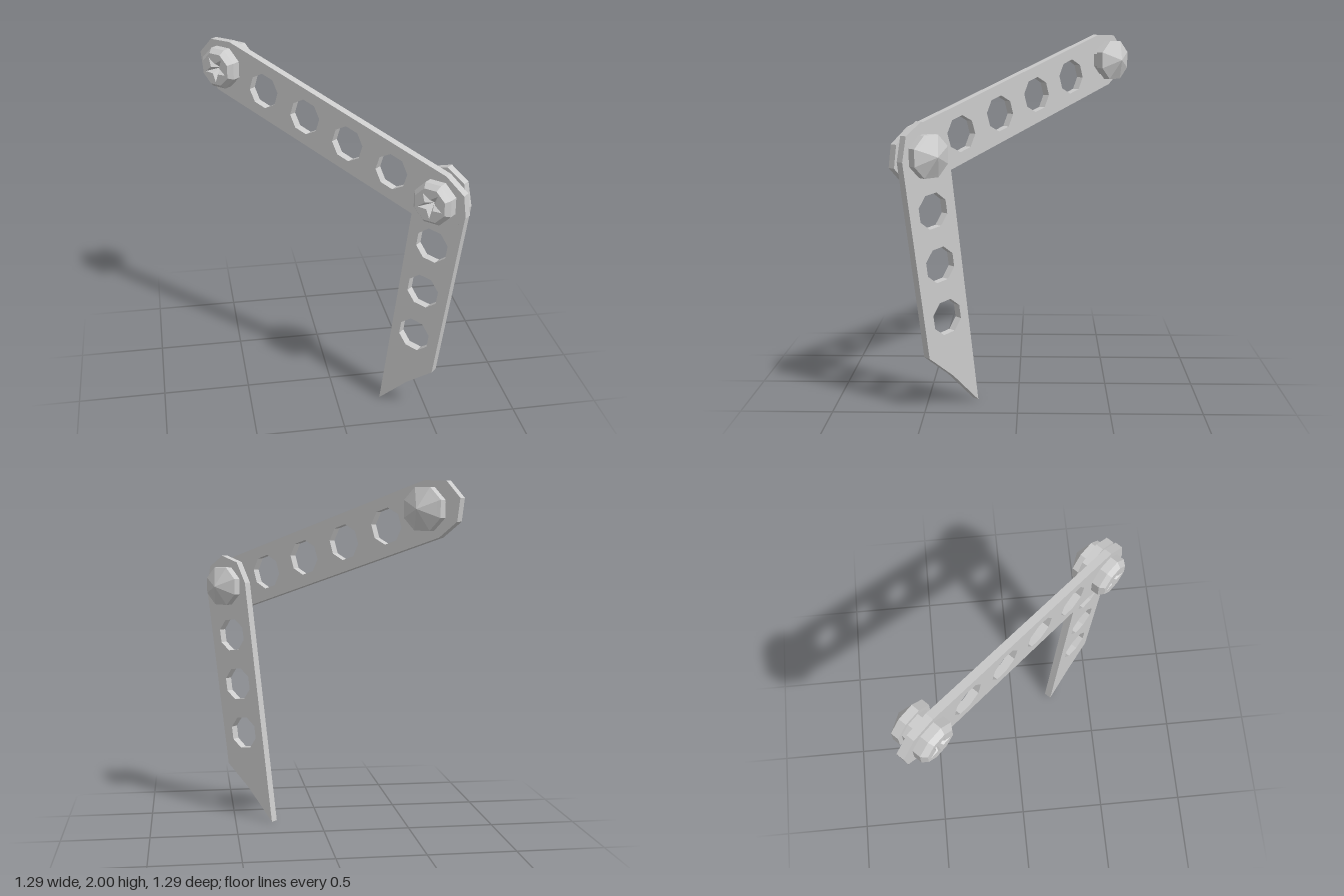
import * as THREE from 'three';

const material = new THREE.MeshStandardMaterial({ color: 0xcccccc, flatShading: true, side: THREE.DoubleSide });
const THICK = 0.045, STEP = 0.297, HALF = 0.155;

function add(parent, geometry, name) {
  const mesh = new THREE.Mesh(geometry, material);
  mesh.name = name;
  parent.add(mesh);
  return mesh;
}

const polar = (r, a) => new THREE.Vector2(r * Math.cos(a), r * Math.sin(a));

// points of a regular octagon with flat sides up, down, left and right
function octagon(r, cx = 0) {
  return Array.from({ length: 8 }, (_, i) => {
    const p = polar(r, (i + 0.5) * Math.PI / 4);
    p.x += cx;
    return p;
  });
}

// faceted rounded end, running from one long edge to the other
function endPoints(cx, start) {
  return Array.from({ length: 5 }, (_, i) => {
    const a = start + i * Math.PI / 4;
    return new THREE.Vector2(cx + 0.18 * Math.cos(a), HALF * Math.sin(a));
  });
}

// flat strip along +x with a row of octagonal holes
function strip(outline, holeCount) {
  const shape = new THREE.Shape(outline);
  for (let i = 1; i <= holeCount; i++) shape.holes.push(new THREE.Path(octagon(0.099, i * STEP)));
  return new THREE.ExtrudeGeometry(shape, { depth: THICK, bevelEnabled: false });
}

// eight-sided turned part along z from [radius, z] pairs
function turned(profile) {
  const g = new THREE.LatheGeometry(profile.map(([r, z]) => new THREE.Vector2(r, z)), 8, Math.PI / 8);
  return g.rotateX(Math.PI / 2);
}

// pointed star-shaped socket sinking from the head face
function starSocket(star, z, depth) {
  const pos = [];
  star.forEach((p, i) => {
    const q = star[(i + 1) % star.length];
    pos.push(p.x, p.y, z, q.x, q.y, z, 0, 0, z - depth);
  });
  const g = new THREE.BufferGeometry();
  g.setAttribute('position', new THREE.Float32BufferAttribute(pos, 3));
  g.computeVertexNormals();
  return g;
}

function bolt(name) {
  const group = new THREE.Group();
  group.name = name;
  const faceZ = 0.12;

  // head with chamfered rim
  add(group, turned([[0.09, THICK], [0.12, THICK], [0.12, 0.092], [0.095, faceZ]]), 'boltHead');

  // head face with star opening, and the socket inside it
  const star = Array.from({ length: 10 }, (_, i) =>
    polar(i % 2 ? 0.032 : 0.075, Math.PI * (0.3 + i / 5)));
  const face = new THREE.Shape(octagon(0.095));
  face.holes.push(new THREE.Path(star));
  add(group, new THREE.ShapeGeometry(face).translate(0, 0, faceZ), 'boltFace');
  add(group, starSocket(star, faceZ, 0.05), 'starSocket');

  // shank and domed nut
  add(group, turned([[0.092, -THICK], [0.092, THICK]]), 'boltShank');
  add(group, turned([[0, -0.145], [0.102, -0.098], [0.12, -0.09], [0.12, -THICK], [0.08, -THICK]]), 'domedNut');
  return group;
}

export function createModel() {
  const model = new THREE.Group();
  model.name = 'jointedArm';
  const arm = new THREE.Group();
  arm.name = 'armAssembly';
  arm.rotation.y = -Math.PI / 4;
  model.add(arm);

  const elbow = new THREE.Vector3(0.71, 1.4, 0);
  const upperAngle = Math.PI - Math.atan(0.324);
  const length = STEP * 5;

  // upper strip, from the elbow to the upper bolt
  const upper = add(arm, strip([
    ...endPoints(length, -Math.PI / 2),
    ...endPoints(0, Math.PI / 2),
  ], 4), 'upperStrip');
  upper.position.copy(elbow);
  upper.rotation.z = upperAngle;

  // lower strip, from the elbow down to the slanted point
  const lower = add(arm, strip([
    ...endPoints(0, Math.PI / 2),
    new THREE.Vector2(1.435, -0.14),
    new THREE.Vector2(1.23, 0.012),
    new THREE.Vector2(1.077, HALF),
  ], 3), 'lowerStrip');
  lower.position.copy(elbow).setZ(-THICK);
  lower.rotation.z = -Math.PI / 2 - THREE.MathUtils.degToRad(8.5);

  // bolts at both ends of the upper strip
  const elbowBolt = bolt('elbowBolt');
  elbowBolt.position.copy(elbow);
  const upperBolt = bolt('upperBolt');
  upperBolt.position.set(
    elbow.x + length * Math.cos(upperAngle),
    elbow.y + length * Math.sin(upperAngle), 0);
  arm.add(elbowBolt, upperBolt);

  return model;
}
